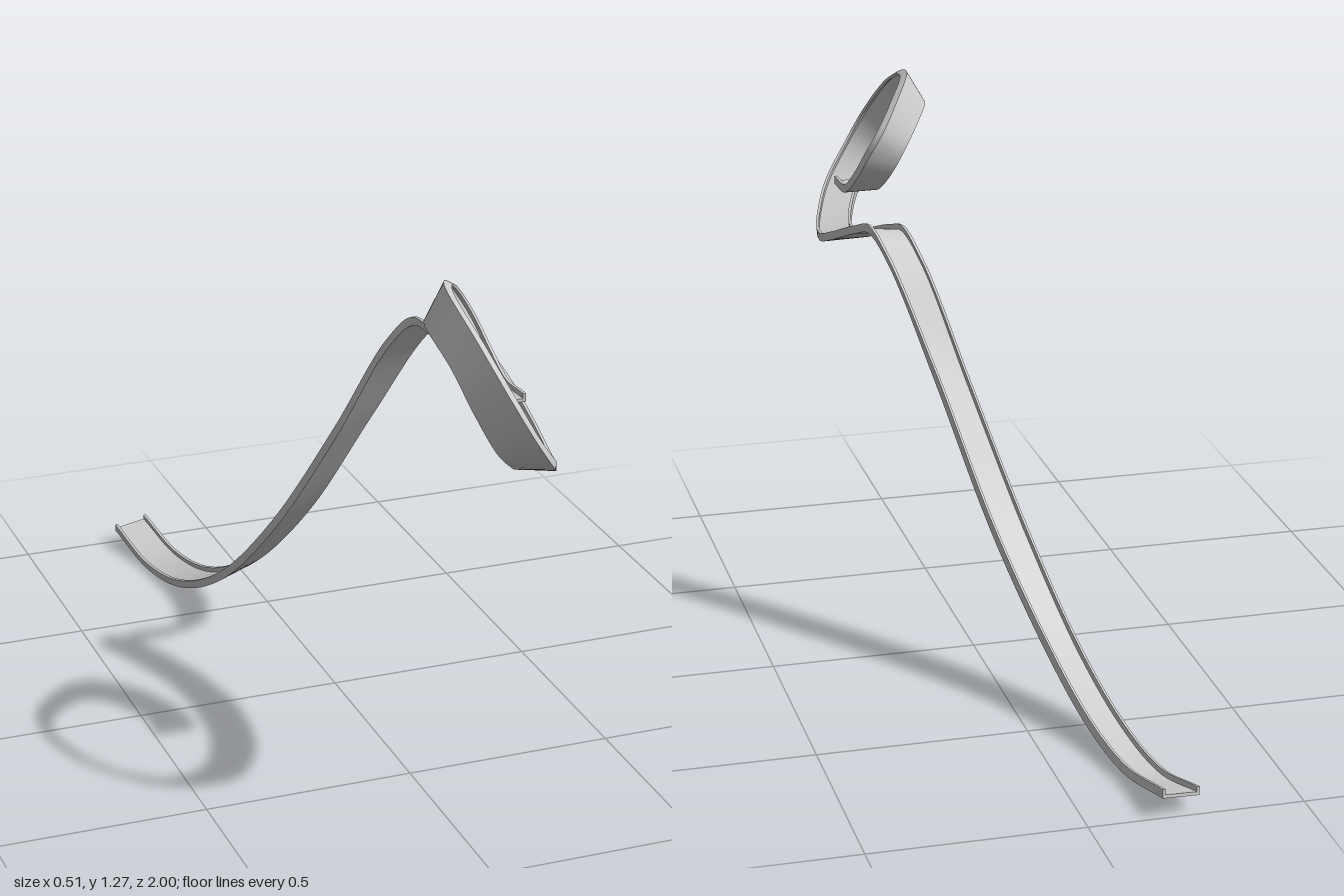
import * as THREE from 'three';

// Stations along the slide: left edge x, y, z and right edge x, y, z
const stations = [
  // inner end and spiral
  [0.18, 0.99, 0.71, 0.09, 0.99, 0.71],
  [0.175, 0.995, 0.61, 0.09, 0.99, 0.63],
  [0.163, 1.05, 0.53, 0.08, 1.025, 0.57],
  [0.14, 1.115, 0.489, 0.06, 1.075, 0.535],
  [0.105, 1.175, 0.485, 0.035, 1.12, 0.535],
  [0.055, 1.233, 0.55, -0.005, 1.163, 0.585],
  [-0.008, 1.27, 0.7, -0.055, 1.19, 0.7],
  [-0.01, 1.215, 0.88, -0.052, 1.145, 0.84],
  [0.03, 1.11, 0.98, -0.026, 1.06, 0.915],
  [0.08, 1.02, 0.995, 0.015, 0.98, 0.935],
  [0.15, 0.925, 0.94, 0.075, 0.917, 0.89],
  [0.21, 0.872, 0.78, 0.125, 0.88, 0.76],
  [0.248, 0.885, 0.58, 0.157, 0.89, 0.58],
  // rise to the crest
  [0.25, 0.935, 0.42, 0.165, 0.935, 0.42],
  [0.225, 0.99, 0.28, 0.135, 0.99, 0.27],
  [0.203, 1.008, 0.215, 0.115, 1.0, 0.21],
  // long drop and run-out
  [0.17, 0.945, 0.15, 0.08, 0.925, 0.14],
  [0.096, 0.7, 0.0, 0.006, 0.66, 0.0],
  [0.01, 0.385, -0.2, -0.085, 0.345, -0.2],
  [-0.062, 0.17, -0.4, -0.152, 0.135, -0.4],
  [-0.108, 0.055, -0.6, -0.198, 0.03, -0.6],
  [-0.14, 0.02, -0.8, -0.23, 0.002, -0.8],
  [-0.17, 0.05, -1.0, -0.26, 0.04, -0.985],
];

const curveOf = (pick) => new THREE.CatmullRomCurve3(stations.map(pick));

// Channel section: floor with a low rim on each side
function channelProfile(w) {
  const rim = 0.007, floor = 0.008, h = 0.02;
  return [[0, 0], [w, 0], [w, h], [w - rim, h], [w - rim, floor], [rim, floor], [rim, h], [0, h]]
    .map(([x, y]) => new THREE.Vector2(x, y));
}

function sweepChannel(steps) {
  const left = curveOf((s) => new THREE.Vector3(s[0], s[1], s[2]));
  const right = curveOf((s) => new THREE.Vector3(s[3], s[4], s[5]));
  const middle = curveOf((s) => new THREE.Vector3((s[0] + s[3]) / 2, (s[1] + s[4]) / 2, (s[2] + s[5]) / 2));
  const rings = [];
  for (let i = 0; i <= steps; i++) {
    const t = i / steps;
    const origin = right.getPoint(t);
    const side = left.getPoint(t).sub(origin);
    const width = side.length();
    side.normalize();
    const up = side.clone().cross(middle.getTangent(t)).normalize();
    rings.push(channelProfile(width).map((p) =>
      origin.clone().addScaledVector(side, p.x).addScaledVector(up, p.y)));
  }

  const positions = [], index = [];
  const put = (v) => positions.push(v.x, v.y, v.z) / 3 - 1;
  // One smooth strip per profile side, with sharp edges between strips
  const n = rings[0].length;
  for (let k = 0; k < n; k++) {
    let previous = null;
    for (const ring of rings) {
      const pair = [put(ring[k]), put(ring[(k + 1) % n])];
      if (previous) {
        const [a, b] = previous, [c, d] = pair;
        index.push(a, c, b, b, c, d);
      }
      previous = pair;
    }
  }
  // End caps
  const faces = THREE.ShapeUtils.triangulateShape(channelProfile(0.09), []);
  for (const [ring, flip] of [[rings[0], false], [rings[steps], true]]) {
    const ids = ring.map(put);
    for (const [a, b, c] of faces) index.push(ids[a], ids[flip ? c : b], ids[flip ? b : c]);
  }

  const geometry = new THREE.BufferGeometry();
  geometry.setAttribute('position', new THREE.Float32BufferAttribute(positions, 3));
  geometry.setIndex(index);
  geometry.computeVertexNormals();
  return geometry;
}

export function createModel() {
  const group = new THREE.Group();
  group.name = 'spiralSlide';
  const material = new THREE.MeshStandardMaterial({ color: 0xcccccc, side: THREE.DoubleSide });
  const slide = new THREE.Mesh(sweepChannel(264), material);
  slide.name = 'slideChannel';
  group.add(slide);
  return group;
}
